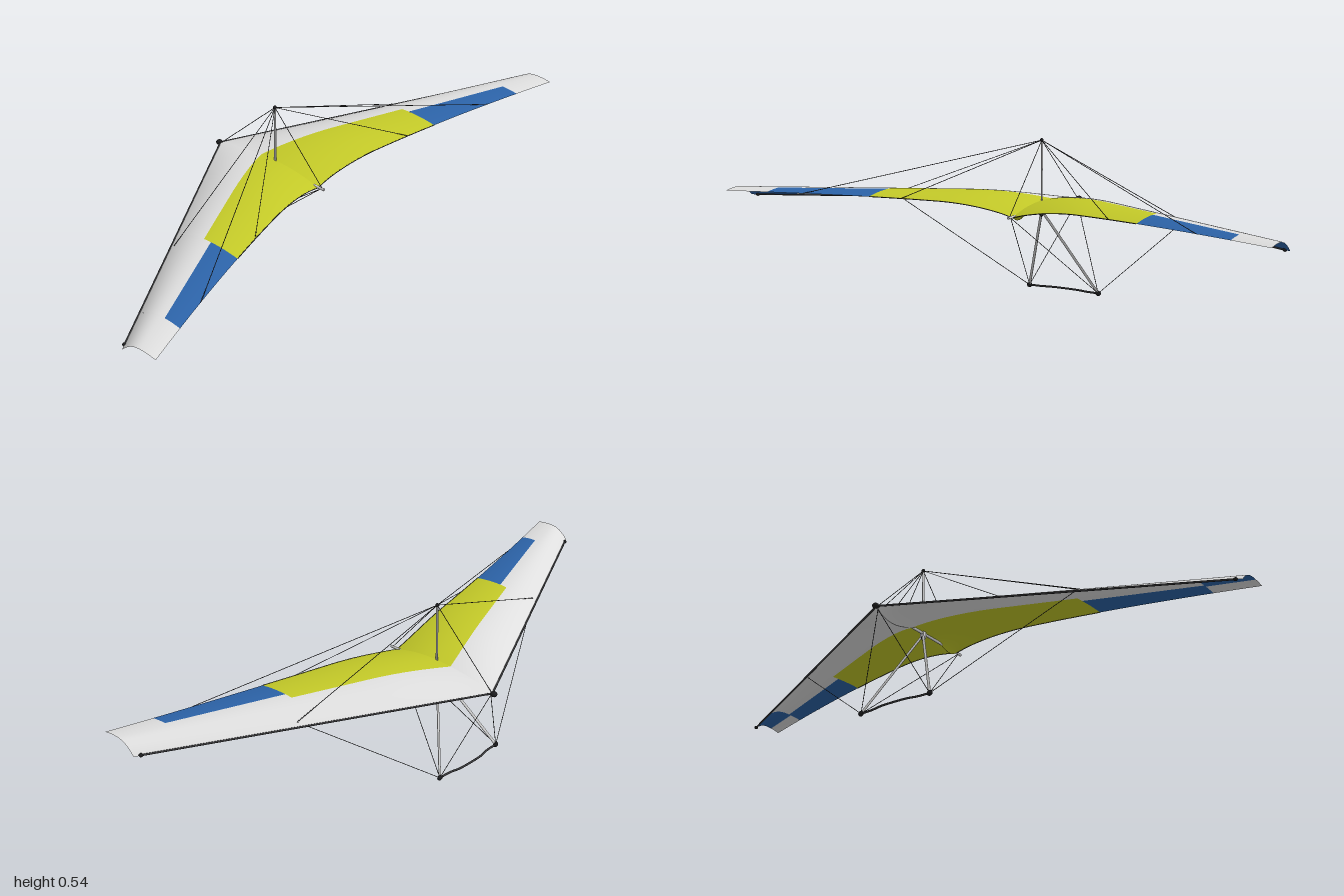
import * as THREE from 'three';

const mat = (name, color) => {
  const m = new THREE.MeshStandardMaterial({ color });
  m.name = name;
  return m;
};

// Sail outline: leading and trailing edge depth at span position x (0..1)
const leadZ = x => -0.32 + 0.525 * x;
const trailZ = x => 0.08 + 0.2 * Math.hypot(x, 0.1) + 0.055 * x * x;
const sailZ = (x, t) => leadZ(x) + (trailZ(x) - leadZ(x)) * t;

// Cambered upper surface, dipping toward the keel and drooping to the rear
function topY(x, t) {
  const h = x < 0.25 ? 0.048 - 0.024 * (1 - x / 0.25) ** 2 : 0.048 - 0.011 * (x - 0.25) / 0.75;
  if (t < 0.55) return 0.31 + h * (1 - (1 - t / 0.55) ** 2.2);
  const droop = 0.005 + 0.027 * Math.exp(-x / 0.4);
  return 0.31 + h - droop * ((t - 0.55) / 0.45) ** 2;
}

// Lower surface: a shallow front pocket and a narrow rear pocket hang along the keel
function bottomY(x, t) {
  const thick = (0.024 * (1 - x ** 1.5) + 0.001) * Math.sin(Math.PI * t ** 0.8);
  let dip = 0;
  if (t < 0.47) dip = 0.027 * Math.sin(Math.PI * (t / 0.47) ** 0.75) * Math.exp(-x / 0.06);
  else if (t > 0.68) dip = 0.02 * Math.sin(Math.PI * ((t - 0.68) / 0.32) ** 1.8) * Math.exp(-x / 0.025);
  return topY(x, t) - Math.max(thick, 0) - dip;
}

// One cloth panel between span x0..x1 and chord limits a(x)..b(x), finer near the keel
function panel(x0, x1, a, b, side, upper) {
  const nx = 20, nt = 16, pos = [], idx = [];
  const ease = x0 === 0 ? 2 : 1;
  for (let i = 0; i <= nx; i++) {
    const x = x0 + (x1 - x0) * (i / nx) ** ease;
    for (let j = 0; j <= nt; j++) {
      const t = a(x) + (b(x) - a(x)) * j / nt;
      pos.push(side * x, upper ? topY(x, t) : bottomY(x, t), sailZ(x, t));
    }
  }
  for (let i = 0; i < nx; i++) for (let j = 0; j < nt; j++) {
    const p = i * (nt + 1) + j, q = p + nt + 1;
    if ((side > 0) === upper) idx.push(p, p + 1, q, q, p + 1, q + 1);
    else idx.push(p, q, p + 1, q, q + 1, p + 1);
  }
  const g = new THREE.BufferGeometry();
  g.setAttribute('position', new THREE.Float32BufferAttribute(pos, 3));
  g.setIndex(idx);
  g.computeVertexNormals();
  return g;
}

export function createModel() {
  const model = new THREE.Group();
  model.name = 'hangGlider';
  const white = mat('white cloth', 0xdedede);
  const yellow = mat('yellow cloth', 0xc4ca28);
  const blue = mat('blue cloth', 0x2c63a8);
  const metal = mat('light metal', 0xd0d0d0);
  const dark = mat('dark tube and wire', 0x38383a);
  const black = mat('black fittings', 0x1c1c1e);

  const add = (name, geo, material) => {
    const m = new THREE.Mesh(geo, material);
    m.name = name;
    model.add(m);
    return m;
  };
  const V = (x, y, z) => new THREE.Vector3(x, y, z);
  // Straight rod between two points; flat narrows it sideways
  const rod = (name, a, b, r, material, sides = 10, flat = 1) => {
    const m = add(name, new THREE.CylinderGeometry(r, r, a.distanceTo(b), sides), material);
    m.position.copy(a).lerp(b, 0.5);
    m.quaternion.setFromUnitVectors(V(0, 1, 0), b.clone().sub(a).normalize());
    m.scale.x = flat;
  };
  const wire = (name, a, b) => rod(name, a, b, 0.0011, dark, 6);
  const knob = (name, p, rx, ry, rz) => {
    const m = add(name, new THREE.SphereGeometry(1, 14, 10), black);
    m.position.copy(p);
    m.scale.set(rx, ry, rz);
  };

  // Sail cloth
  const zero = () => 0, one = () => 1;
  const innerSplit = x => 0.43 + 0.08 * x;
  const outerSplit = x => 0.58 + 0.06 * (x - 0.5) / 0.35;
  const tipSplit = () => 0.7;
  for (const s of [1, -1]) {
    for (const upper of [true, false]) {
      const n = upper ? 'Upper' : 'Lower';
      add('frontCloth' + n, panel(0, 0.5, zero, innerSplit, s, upper), white);
      add('centreCloth' + n, panel(0, 0.5, innerSplit, one, s, upper), yellow);
      add('outerFrontCloth' + n, panel(0.5, 0.855, zero, outerSplit, s, upper), white);
      add('outerRearCloth' + n, panel(0.5, 0.855, outerSplit, one, s, upper), blue);
      add('tipFrontCloth' + n, panel(0.855, 1, zero, tipSplit, s, upper), upper ? white : blue);
      add('tipRearCloth' + n, panel(0.855, 1, tipSplit, one, s, upper), white);
    }
  }

  // Hem along the middle of the trailing edge
  const hem = [];
  for (let i = -20; i <= 20; i++) {
    const x = Math.abs(i) * 0.025;
    hem.push(V(i * 0.025, topY(x, 1), trailZ(x)));
  }
  add('trailingHem', new THREE.TubeGeometry(new THREE.CatmullRomCurve3(hem), 60, 0.0014, 6), dark);

  // Keel, king post and nose
  const apex = V(0, 0.3, -0.08), mastTop = V(0, 0.533, -0.08);
  const nose = V(0, 0.307, -0.318);
  rod('keel', nose, V(0, 0.304, 0.125), 0.0045, metal);
  rod('kingPost', apex, mastTop, 0.0045, metal, 12, 0.6);
  knob('noseCap', V(0, 0.308, -0.324), 0.011, 0.009, 0.012);
  knob('kingPostCap', mastTop, 0.006, 0.007, 0.006);
  wire('noseTopWire', mastTop, nose);
  wire('rearTopWire', mastTop, V(0, 0.308, 0.115));

  // Hang loop under the keel
  const loop = add('hangLoop', new THREE.TorusGeometry(0.007, 0.002, 8, 16), black);
  loop.position.set(0, 0.288, -0.08);
  loop.rotation.y = Math.PI / 2;
  const bracket = add('apexBracket', new THREE.BoxGeometry(0.014, 0.024, 0.012), metal);
  bracket.position.set(0, 0.298, -0.08);

  for (const s of [1, -1]) {
    // Leading edge tubes, tucked under the front of the cloth
    const tip = V(s * 0.98, 0.311, leadZ(0.98) + 0.001);
    rod('leadingEdge', V(0, 0.309, -0.319), tip, 0.0032, dark);
    knob('leadingEdgeCap', tip, 0.007, 0.006, 0.007);

    // Control frame uprights
    const corner = V(s * 0.135, 0.011, -0.222);
    rod('downTube', apex, corner, 0.005, metal, 12, 0.6);
    knob('cornerFitting', corner, 0.01, 0.009, 0.007);

    // Rigging
    const crossEnd = V(s * 0.55, 0.322, -0.016);
    wire('sideTopWire', mastTop, crossEnd);
    wire('sideLowerWire', corner, crossEnd);
    wire('noseLowerWire', corner, V(0, 0.3, -0.312));
    wire('rearLowerWire', corner, V(0, 0.302, 0.11));
    for (const x of [0.39, 0.73])
      wire('luffLine', mastTop, V(s * x, topY(x, 1), trailZ(x)));
  }

  // Curved base bar
  const bar = new THREE.CatmullRomCurve3([
    V(-0.135, 0.011, -0.222), V(-0.09, 0.011, -0.224), V(-0.05, 0.011, -0.232),
    V(0.05, 0.011, -0.232), V(0.09, 0.011, -0.224), V(0.135, 0.011, -0.222)]);
  add('baseBar', new THREE.TubeGeometry(bar, 40, 0.0035, 8), dark);

  return model;
}
